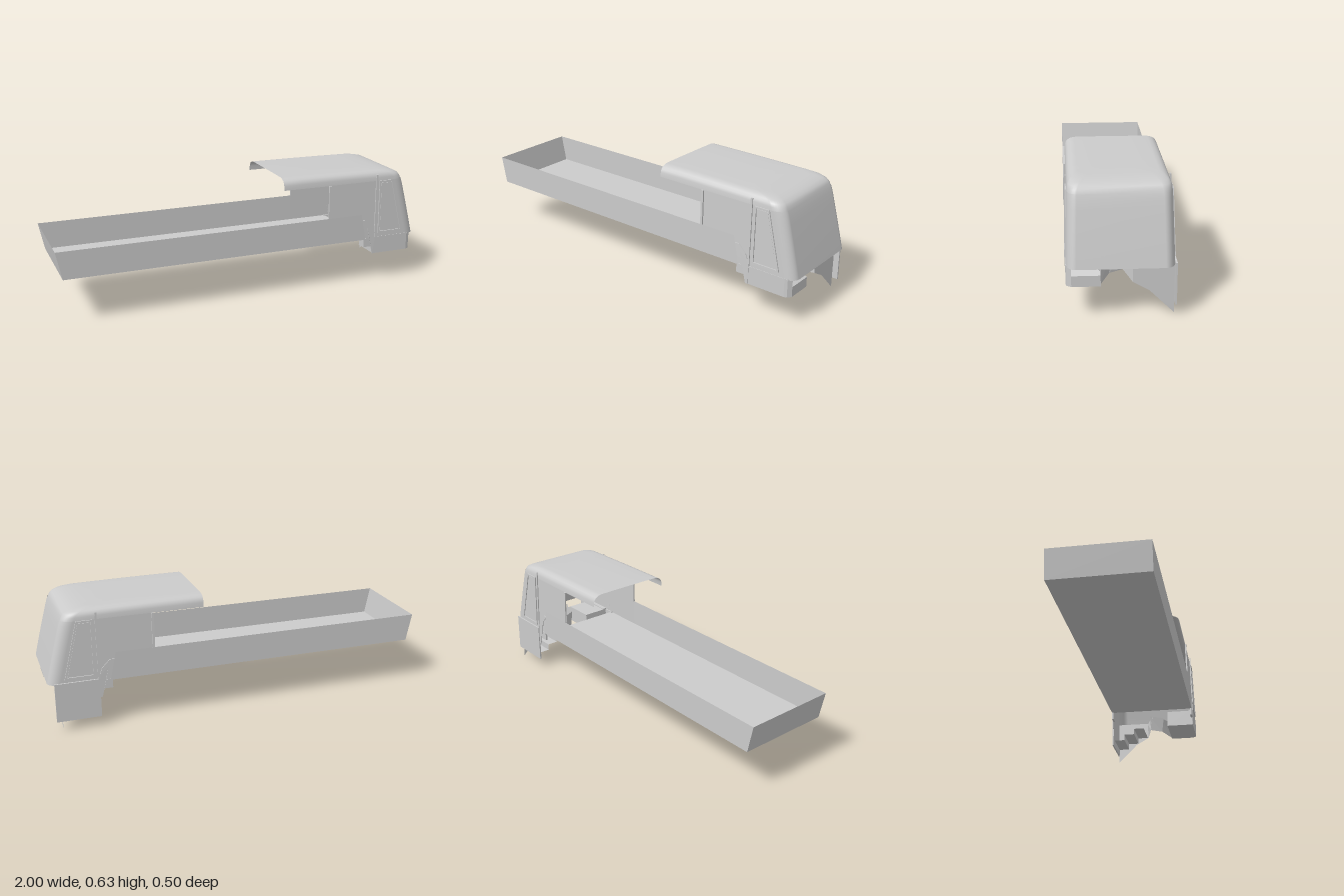
import * as THREE from 'three';

const grey = new THREE.MeshStandardMaterial({ color: 0xcccccc, side: THREE.DoubleSide });
const flat = new THREE.MeshStandardMaterial({ color: 0xcccccc, side: THREE.DoubleSide, flatShading: true });

// Half width of the cab side at height y (it leans inwards)
const sideZ = (y) => 0.243 - 0.022 * Math.max(0, y - 0.25);

function add(group, name, geometry, material = flat) {
  const mesh = new THREE.Mesh(geometry, material);
  mesh.name = name;
  group.add(mesh);
  return mesh;
}

// Box given by its limits
function block(group, name, [x0, x1], [y0, y1], [z0, z1]) {
  const m = add(group, name, new THREE.BoxGeometry(x1 - x0, y1 - y0, z1 - z0));
  m.position.set((x0 + x1) / 2, (y0 + y1) / 2, (z0 + z1) / 2);
}

const outline = (pts) => new THREE.Shape(pts.map(([x, y]) => new THREE.Vector2(x, y)));

// Thin plate drawn in side profile and laid on the leaning cab side
function sidePlate(group, name, pts, side, thickness, hole) {
  const shape = outline(pts);
  if (hole) shape.holes.push(outline(hole));
  const g = new THREE.ExtrudeGeometry(shape, { depth: thickness, bevelEnabled: false });
  const p = g.attributes.position;
  for (let i = 0; i < p.count; i++) {
    const z = p.getZ(i);
    p.setZ(i, side * (sideZ(p.getY(i)) + (side > 0 ? z : thickness - z)));
  }
  if (side < 0) {
    for (let i = 0; i < p.count; i += 3) {
      const a = new THREE.Vector3().fromBufferAttribute(p, i + 1);
      const b = new THREE.Vector3().fromBufferAttribute(p, i + 2);
      p.setXYZ(i + 1, b.x, b.y, b.z);
      p.setXYZ(i + 2, a.x, a.y, a.z);
    }
  }
  g.computeVertexNormals();
  add(group, name, g);
}

// U-shaped plan: side, rounded corner, front, corner, side
function plan(rear, front, w, rx, rz) {
  const half = [];
  for (let i = 0; i <= 6; i++) half.push([rear + (front - rx - rear) * i / 6, w]);
  for (let i = 1; i <= 8; i++) {
    const a = (i / 8) * Math.PI / 2;
    half.push([front - rx + rx * Math.sin(a), w - rz + rz * Math.cos(a)]);
  }
  return [...half, ...half.slice().reverse().map(([x, z]) => [x, -z])];
}

// Skin over stacked plans
function shell(rear, layers, sag = 0) {
  const pos = [], idx = [];
  let n = 0;
  layers.forEach(([y, front, w, rx, rz], k) => {
    const ring = plan(rear, front, w, rx, rz);
    n = ring.length;
    ring.forEach(([x, z], i) => {
      pos.push(x, y - sag * Math.max(0, x - 0.2) ** 2, z);
      if (k && i) {
        const a = (k - 1) * n + i - 1, b = a + 1, c = k * n + i - 1, d = c + 1;
        idx.push(a, b, d, a, d, c);
      }
    });
  });
  const g = new THREE.BufferGeometry();
  g.setAttribute('position', new THREE.Float32BufferAttribute(pos, 3));
  g.setIndex(idx);
  g.computeVertexNormals();
  return g;
}

// Flat-sided sheet through quads of corner points
function sheet(quads) {
  const pos = quads.flatMap(([a, b, c, d]) => [a, b, c, a, c, d].flat());
  const g = new THREE.BufferGeometry();
  g.setAttribute('position', new THREE.Float32BufferAttribute(pos, 3));
  g.computeVertexNormals();
  return g;
}

export function createModel() {
  const model = new THREE.Group();
  model.name = 'truckBody';

  // Open load bed with a raked tail
  const bed = new THREE.Group();
  bed.name = 'loadBed';
  model.add(bed);
  const Z = 0.245, lo = 0.24, hi = 0.385;
  add(bed, 'bedFloor', sheet([[[-0.97, lo, -Z], [-0.97, lo, Z], [0.69, lo, Z], [0.69, lo, -Z]]]));
  add(bed, 'bedTail', sheet([[[-0.97, lo, -Z], [-0.97, lo, Z], [-1, hi, Z], [-1, hi, -Z]]]));
  for (const s of [1, -1]) {
    const side = [[-0.97, lo, s * Z], [0.69, lo, s * Z], [0.66, hi, s * Z], [-1, hi, s * Z]];
    add(bed, s > 0 ? 'bedSideLeft' : 'bedSideRight', sheet([s > 0 ? side : side.reverse()]));
  }

  // Cab walls with raked windscreen
  const cab = new THREE.Group();
  cab.name = 'cab';
  model.add(cab);
  const walls = [[0.245, 1], [0.3, 0.987], [0.4, 0.962], [0.5, 0.936], [0.543, 0.924], [0.565, 0.916]]
    .map(([y, f]) => [y, f, sideZ(y), 0.06, 0.045]);
  add(cab, 'cabWallsAndWindscreen', shell(0.46, walls), grey);

  // Roof cap reaching back over the bed
  add(cab, 'roof', shell(0.2, [
    [0.565, 0.916, 0.236, 0.06, 0.045], [0.588, 0.908, 0.234, 0.06, 0.045],
    [0.602, 0.896, 0.229, 0.06, 0.045], [0.613, 0.875, 0.22, 0.06, 0.045],
    [0.621, 0.84, 0.205, 0.06, 0.045], [0.625, 0.79, 0.185, 0.06, 0.045],
    [0.626, 0.72, 0.1, 0.06, 0.045], [0.626, 0.7, 0, 0, 0],
  ], 0.016), grey);

  // Doors, posts and wheel arches on both sides
  for (const s of [1, -1]) {
    const tag = s > 0 ? 'Left' : 'Right';
    sidePlate(cab, 'door' + tag, [[0.765, 0.27], [0.918, 0.27], [0.846, 0.565], [0.765, 0.565]], s, 0.006,
      [[0.775, 0.28], [0.905, 0.28], [0.84, 0.555], [0.775, 0.555]]);
    sidePlate(cab, 'doorPanel' + tag, [[0.778, 0.283], [0.902, 0.283], [0.838, 0.552], [0.778, 0.552]], s, 0.003);
    sidePlate(cab, 'rearPost' + tag, [[0.46, 0.385], [0.472, 0.385], [0.472, 0.565], [0.46, 0.565]], s, 0.008);
    sidePlate(cab, 'doorPost' + tag, [[0.743, 0.25], [0.753, 0.25], [0.753, 0.6], [0.743, 0.6]], s, 0.006);
    sidePlate(cab, 'wheelArch' + tag, [[0.66, 0.35], [0.7, 0.31], [0.712, 0.25], [0.735, 0.155],
      [0.75, 0.155], [0.75, 0.26], [0.73, 0.31], [0.69, 0.35]], s, 0.004);
    block(cab, 'archBracket' + tag, [0.68, 0.735], [0.198, 0.245], s > 0 ? [0.235, 0.245] : [-0.245, -0.235]);
  }

  // Left bumper half with sloping top and side skirt
  const lower = new THREE.Group();
  lower.name = 'lowerFront';
  model.add(lower);
  const bumper = new THREE.ExtrudeGeometry(
    outline([[0.74, 0.155], [0.98, 0.155], [0.98, 0.207], [0.91, 0.245], [0.74, 0.245]]),
    { depth: 0.13, bevelEnabled: false });
  add(lower, 'bumper', bumper).position.z = 0.09;
  const skirt = new THREE.ExtrudeGeometry(
    outline([[0.74, 0.245], [0.74, 0.22], [0.98, 0.22], [0.965, 0.24], [0.95, 0.245]]),
    { depth: 0.095, bevelEnabled: false });
  skirt.rotateX(Math.PI / 2);
  add(lower, 'skirtLeft', skirt).position.y = 0.25;

  // Folded wall between the bumper and the entrance
  const fold = [[0.96, 0.09], [0.84, 0.045], [0.8, -0.02], [0.94, -0.055]];
  add(lower, 'innerWall', sheet(fold.slice(1).map(([x, z], i) => {
    const [px, pz] = fold[i];
    return [[px, 0.155, pz], [x, 0.155, z], [x, 0.245, z - 0.005], [px, 0.245, pz + 0.01]];
  })));

  // Entrance front panel with a slanted lower edge
  add(lower, 'entrancePanel', sheet([
    [[0.94, 0.155, -0.055], [0.94, 0.112, -0.13], [0.94, 0.25, -0.13], [0.94, 0.25, -0.055]],
    [[0.94, 0.112, -0.13], [0.94, 0, -0.243], [0.94, 0.25, -0.243], [0.94, 0.25, -0.13]],
  ]));

  // Right skirt and the entrance steps behind it
  block(lower, 'skirtRight', [0.745, 0.97], [0.052, 0.255], [-0.252, -0.244]);
  [[0.155, -0.06], [0.12, -0.12], [0.085, -0.18]].forEach(([y, z], i) => {
    add(lower, 'step' + (i + 1), sheet([
      [[0.76, y, z], [0.94, y, z], [0.94, y, z - 0.06], [0.76, y, z - 0.06]],
      [[0.76, y - 0.035, z - 0.06], [0.94, y - 0.035, z - 0.06], [0.94, y, z - 0.06], [0.76, y, z - 0.06]],
    ]));
  });
  return model;
}
